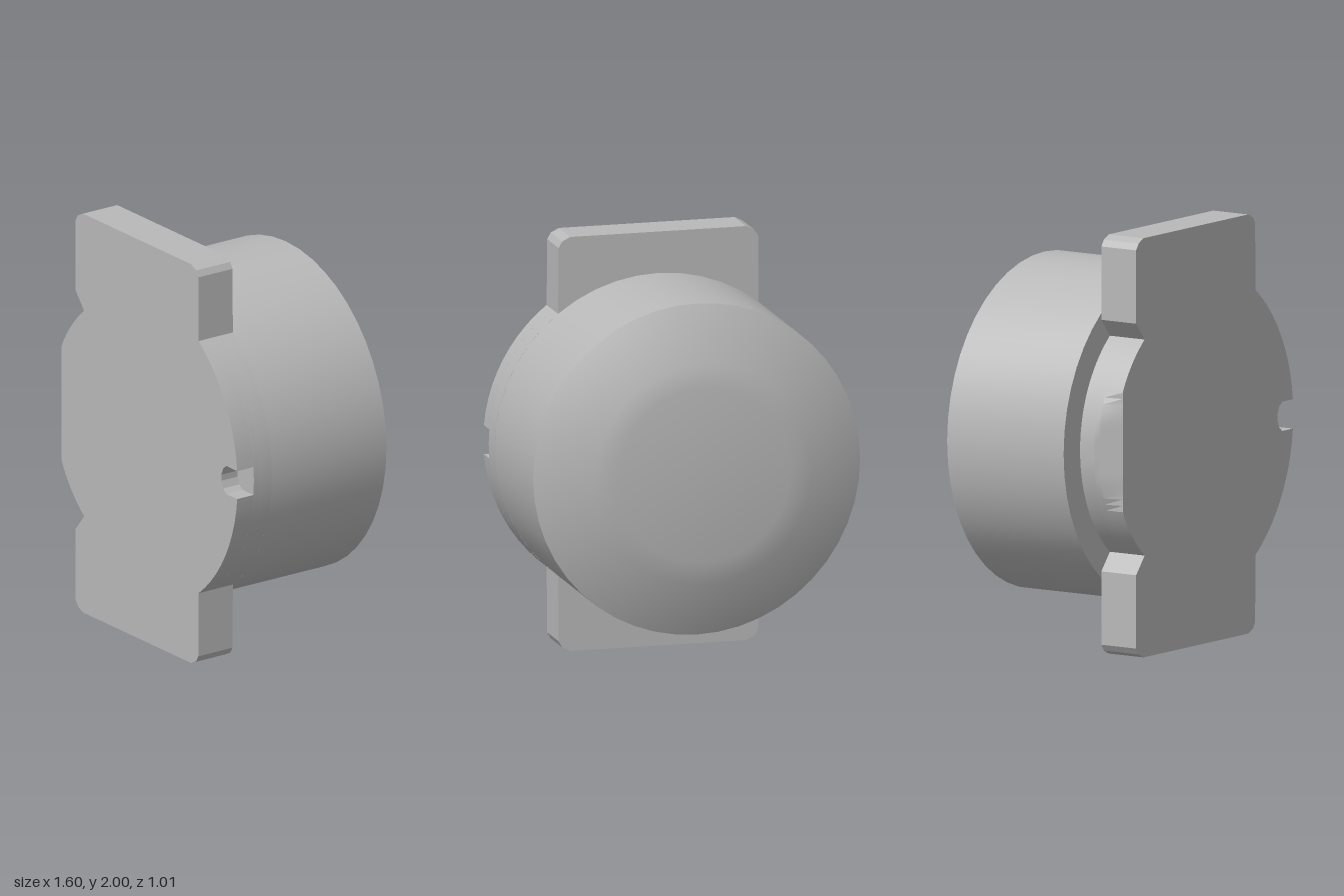
import * as THREE from 'three';
import { toCreasedNormals } from 'three/addons/utils/BufferGeometryUtils.js';

const CY = 1;            // height of the round body's axis
const R = 0.8;           // body radius
const R_STEP = 0.665;    // smaller radius on the stepped side

// Points on a circle round the body axis, from angle a to angle b
function arc(r, a, b, n) {
  return Array.from({ length: n + 1 }, (_, i) => {
    const t = a + (b - a) * i / n;
    return [r * Math.cos(t), CY + r * Math.sin(t)];
  });
}

// Front plate outline, counter-clockwise; the notch is cut into the left rim
function plateShape(notched) {
  const join = Math.atan2(0.632, 0.49);
  const notch = Math.asin(0.07 / R);
  const step = Math.atan2(0.515, -0.42);
  const tab = [[0.49, 1.65], [0.487, 1.95], [0.47, 1.98], [0.43, 2],
    [-0.43, 2], [-0.47, 1.98], [-0.49, 1.95], [-0.49, 1.6]];
  const lowerTab = tab.map(([x, y]) => [x, 2 - y]).reverse();
  const cut = [[0.71, 0.93], [0.685, 0.95], [0.67, 0.985], [0.67, 1.015], [0.685, 1.05], [0.71, 1.07]];
  const rim = notched
    ? [...arc(R, -join, -notch, 10), ...cut, ...arc(R, notch, join, 10)]
    : arc(R, -join, join, 20);
  const pts = [...rim, ...tab, ...arc(R_STEP, step, 2 * Math.PI - step, 36), ...lowerTab];
  return new THREE.Shape(pts.map(([x, y]) => new THREE.Vector2(x, y)));
}

// One slice of the plate; a slanted plane trims its stepped side
function plateLayer(z0, z1, notched) {
  const g = new THREE.ExtrudeGeometry(plateShape(notched), { depth: z1 - z0, bevelEnabled: false });
  g.translate(0, 0, z0);
  const p = g.attributes.position;
  for (let i = 0; i < p.count; i++) {
    const limit = -0.6 - (0.505 - p.getZ(i)) * 0.52;
    p.setX(i, Math.max(p.getX(i), limit));
  }
  return toCreasedNormals(g, 0.35);
}

export function createModel() {
  const group = new THREE.Group();
  const grey = new THREE.MeshStandardMaterial({ color: 0xb8b8b8 });
  grey.name = 'grey';

  const add = (name, geometry) => {
    const mesh = new THREE.Mesh(geometry, grey);
    mesh.name = name;
    group.add(mesh);
  };

  // Round body with a sloping, flattened back
  const profile = [[0, -0.305], [R, -0.305], [R, 0.365], [0.53, 0.487], [0.42, 0.505], [0, 0.505]]
    .map(([r, h]) => new THREE.Vector2(r, h));
  const body = new THREE.LatheGeometry(profile, 48);
  body.rotateX(-Math.PI / 2).translate(0, CY, 0);
  add('roundBody', toCreasedNormals(body, 0.5));

  // Front plate with two tabs, built in slices up to the notched face
  add('plateBase', plateLayer(0.305, 0.385, false));
  add('plateMiddle', plateLayer(0.385, 0.41, false));
  add('plateFace', plateLayer(0.41, 0.505, true));

  return group;
}
